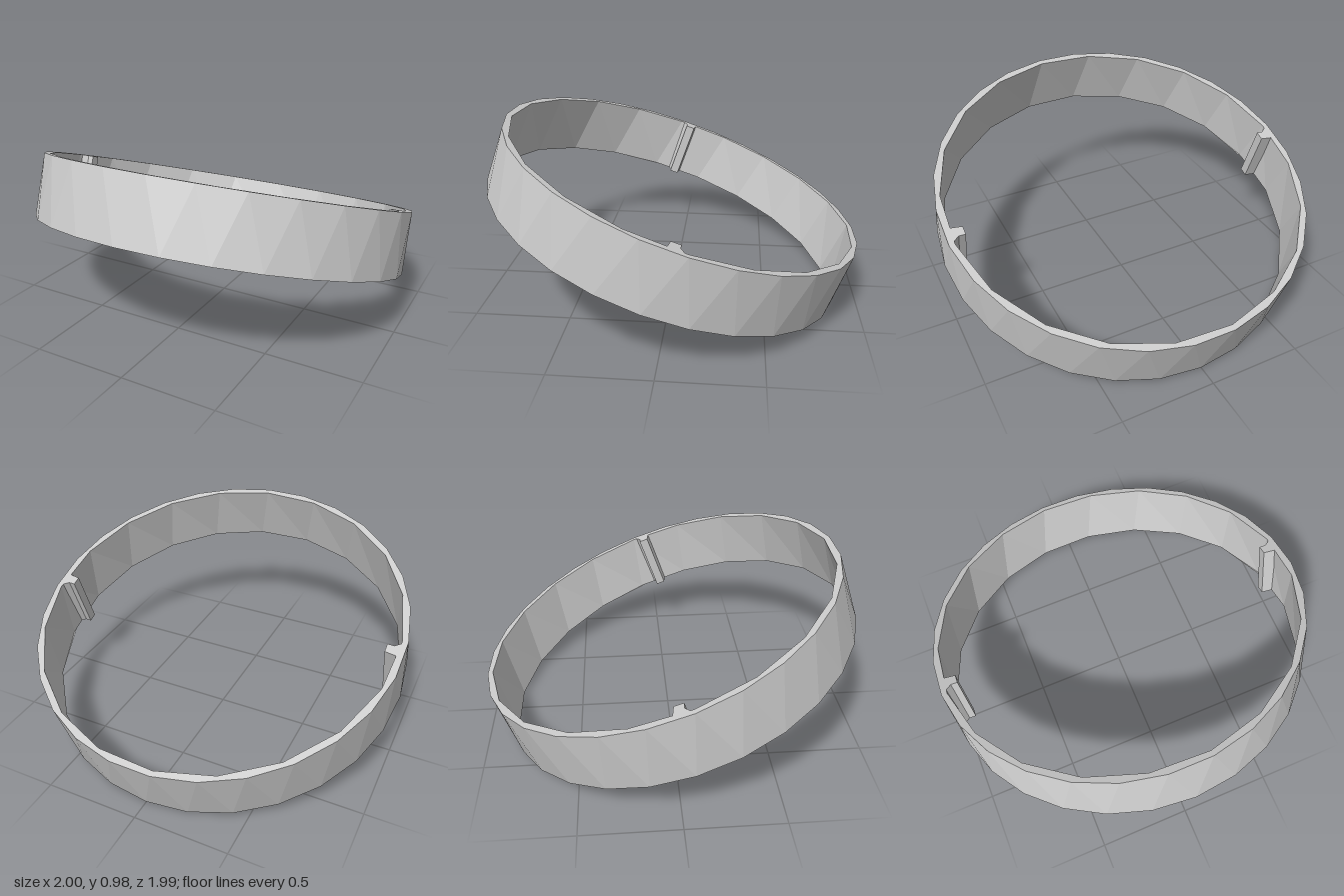
import * as THREE from 'three';

const HEIGHT = 0.334;
const OUTER = 1;
const INNER = 0.97;
const DEG = Math.PI / 180;

// Regular polygon outline; angles run clockwise from the back
function polygon(radius, sides, startDeg) {
  return Array.from({ length: sides }, (_, i) => {
    const a = startDeg * DEG + (i / sides) * Math.PI * 2;
    return new THREE.Vector2(Math.sin(a) * radius, Math.cos(a) * radius);
  });
}

// Extrude a plan outline upright, centred on the height
function upright(shape) {
  const geo = new THREE.ExtrudeGeometry(shape, { depth: HEIGHT, bevelEnabled: false });
  return geo.translate(0, 0, -HEIGHT / 2).rotateX(-Math.PI / 2);
}

// Slant the facets: outer and inner walls turn opposite ways over the height
function slantFacets(geo) {
  const p = geo.attributes.position;
  const axis = new THREE.Vector3(0, 1, 0);
  const v = new THREE.Vector3();
  for (let i = 0; i < p.count; i++) {
    v.fromBufferAttribute(p, i);
    const turn = Math.hypot(v.x, v.z) > (OUTER + INNER) / 2 ? 6 : -4;
    v.applyAxisAngle(axis, (turn * DEG * v.y) / HEIGHT);
    p.setXYZ(i, v.x, v.y, v.z);
  }
  geo.computeVertexNormals();
  return geo;
}

export function createModel() {
  const group = new THREE.Group();
  group.name = 'tiltedRing';
  const material = new THREE.MeshStandardMaterial({ color: 0xcccccc, flatShading: true });

  const ring = new THREE.Group();
  ring.name = 'ring';
  ring.rotation.x = -19.4 * DEG;
  ring.position.y = 0.49;
  group.add(ring);

  // Thin faceted band; the hole runs against the outline so its wall faces inward
  const bandShape = new THREE.Shape(polygon(OUTER, 28, 10));
  bandShape.holes.push(new THREE.Path(polygon(INNER, 20, 10).reverse()));
  const band = new THREE.Mesh(slantFacets(upright(bandShape)), material);
  band.name = 'band';
  ring.add(band);

  // Two opposite ribs inside the band, flared on one side at the wall
  const ribShape = new THREE.Shape([
    [0.9, 0.012], [0.975, 0], [0.975, 0.09], [0.935, 0.06], [0.9, 0.062],
  ].map(([x, y]) => new THREE.Vector2(x, y)));
  const ribGeometry = upright(ribShape);
  ['leftRib', 'rightRib'].forEach((name, i) => {
    const rib = new THREE.Mesh(ribGeometry, material);
    rib.name = name;
    rib.rotation.y = i * Math.PI;
    ring.add(rib);
  });

  return group;
}
